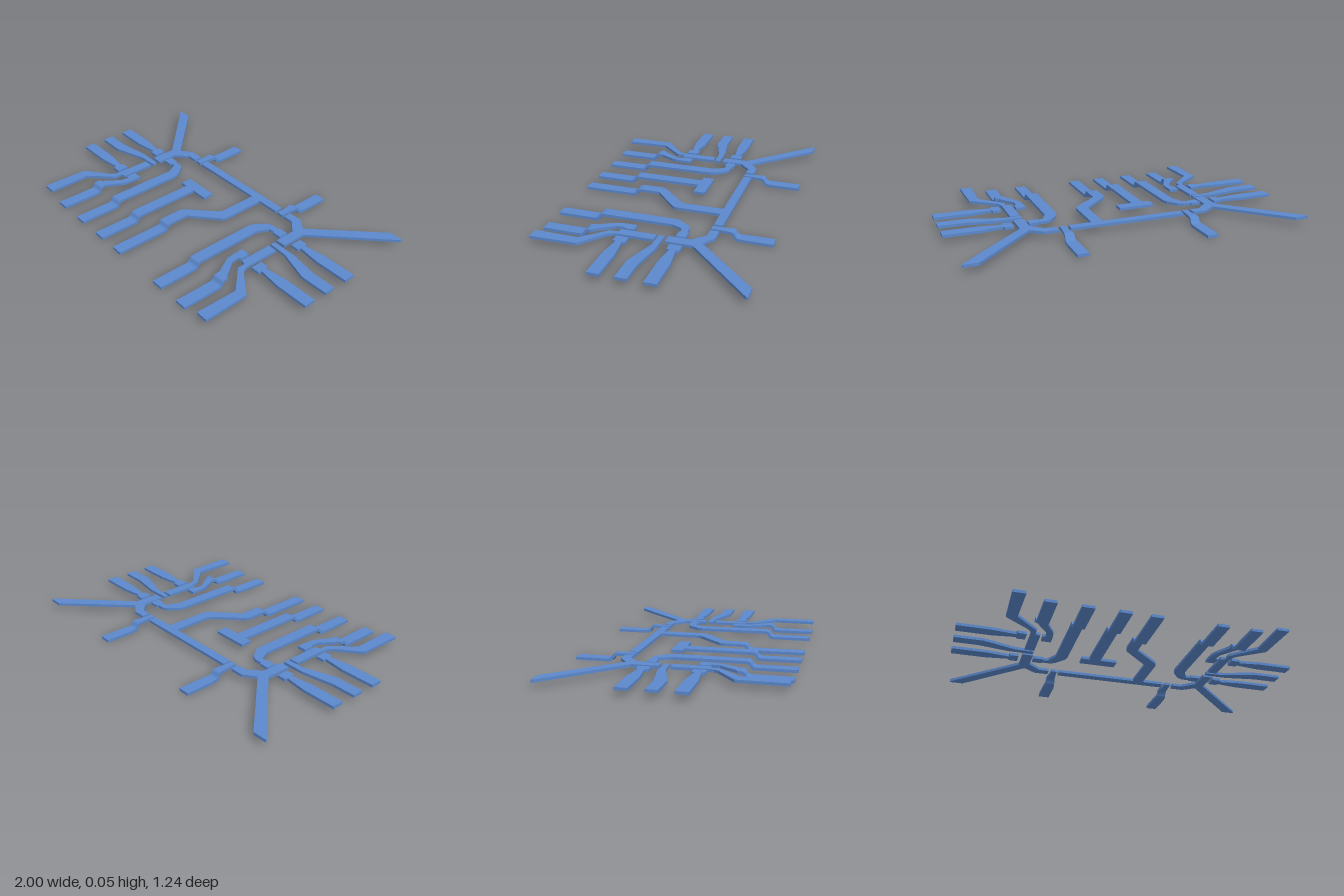
import * as THREE from 'three';
import { toCreasedNormals } from 'three/addons/utils/BufferGeometryUtils.js';

const T = 0.016; // sheet thickness
const U = 0.032; // underside of the raised level
const END = 0.62; // front and back ends of the leads

export function createModel() {
  const model = new THREE.Group();
  const metal = new THREE.MeshStandardMaterial({ color: 0x5b88cc });
  metal.name = 'blue metal';

  const add = (name, geometry) => {
    const mesh = new THREE.Mesh(geometry, metal);
    mesh.name = name;
    model.add(mesh);
  };

  // Flat plate at the raised level from an outline of [x, z] points
  const plate = (name, points, mirror = 1) => {
    const shape = new THREE.Shape(points.map(([x, z]) => new THREE.Vector2(x * mirror, -z)));
    const g = new THREE.ExtrudeGeometry(shape, { depth: T, bevelEnabled: false });
    g.rotateX(-Math.PI / 2);
    g.translate(0, U, 0);
    add(name, g);
  };

  // Lead end that steps down to the ground; side +1 is front, -1 is back
  const foot = (name, x, step, side = 1, width = () => 0.068) => {
    const s = new THREE.Shape();
    s.moveTo(step - 0.04, U + T);
    s.lineTo(step - 0.02, U + T);
    s.bezierCurveTo(step + 0.012, U + T, step - 0.005, T, step + 0.03, T);
    s.lineTo(step + 0.055, T);
    s.lineTo(END, T);
    s.lineTo(END, 0);
    s.lineTo(step + 0.055, 0);
    s.lineTo(step + 0.02, 0);
    s.bezierCurveTo(step - 0.012, 0, step + 0.005, U, step - 0.03, U);
    s.lineTo(step - 0.04, U);
    s.closePath();
    let g = new THREE.ExtrudeGeometry(s, { depth: 1, bevelEnabled: false, curveSegments: 8 });
    g.translate(0, 0, -0.5);
    g.rotateY(-side * Math.PI / 2);
    const p = g.attributes.position;
    for (let i = 0; i < p.count; i++) {
      p.setX(i, x + p.getX(i) * width(Math.abs(p.getZ(i))));
    }
    g = toCreasedNormals(g, 0.6);
    add(name, g);
  };

  for (const m of [-1, 1]) {
    const side = m > 0 ? 'left' : 'right';
    const both = (name, pts) => plate(side + name, pts, -m);

    // Corner support with diagonal arm
    both('CornerArm', [[-0.975, -0.62], [-0.895, -0.62], [-0.555, -0.275], [-0.485, -0.325],
      [-0.405, -0.325], [-0.405, -0.275], [-0.465, -0.275], [-0.535, -0.21], [-0.535, -0.085],
      [-0.595, -0.085], [-0.595, -0.235], [-0.975, -0.61]]);

    // Hooked front lead
    both('HookedLead', [[-0.525, -0.175], [-0.47, -0.175], [-0.465, -0.165], [-0.42, -0.165],
      [-0.39, -0.15], [-0.345, -0.09], [-0.336, -0.06], [-0.336, 0.33], [-0.404, 0.33],
      [-0.404, -0.06], [-0.435, -0.125], [-0.465, -0.13], [-0.47, -0.12], [-0.525, -0.12]]);
    foot(side + 'HookedLeadFoot', m * 0.37, 0.37);

    // Short front lead
    both('ShortLead', [[-0.525, 0.115], [-0.47, 0.115], [-0.47, 0.17], [-0.475, 0.22],
      [-0.485, 0.245], [-0.531, 0.33], [-0.599, 0.33], [-0.585, 0.325], [-0.515, 0.225],
      [-0.51, 0.18], [-0.525, 0.17]]);
    foot(side + 'ShortLeadFoot', m * 0.565, 0.37);

    // Outer front lead, level all the way
    both('OuterLead', [[-0.595, -0.02], [-0.54, -0.02], [-0.54, 0.18], [-0.57, 0.19],
      [-0.57, 0.235], [-0.695, 0.365], [-0.69, 0.615], [-0.76, 0.615], [-0.755, 0.345],
      [-0.615, 0.235], [-0.6, 0.21], [-0.595, 0.18]]);

    // Side leads with square pads
    for (const z of [-0.153, 0.143]) {
      both('SideLead', [[-1, z - 0.034], [-0.8, z - 0.034], [-0.67, z - 0.017], [-0.665, z - 0.034],
        [-0.615, z - 0.034], [-0.615, z + 0.036], [-0.665, z + 0.036], [-0.67, z + 0.017],
        [-0.8, z + 0.034], [-1, z + 0.034]]);
    }
    both('MiddleSideLead', [[-1, -0.035], [-0.86, -0.035], [-0.68, -0.065], [-0.54, -0.065],
      [-0.54, -0.035], [-0.65, -0.03], [-0.835, 0.03], [-1, 0.03]]);

    // Tapered back lead
    const taper = (d) => 0.035 + 0.03 * THREE.MathUtils.clamp((d - 0.32) / 0.14, 0, 1);
    const w = taper(0.365) / 2;
    both('BackLeadNeck', [[-0.37 - w, -0.365], [-0.37 + w, -0.365], [-0.3525, -0.32],
      [-0.3525, -0.275], [-0.3875, -0.275], [-0.3875, -0.32]]);
    foot(side + 'BackLeadFoot', m * 0.37, 0.405, -1, taper);
  }

  // Cross bar with its bent lead
  plate('crossBar', [[-0.34, -0.325], [0.335, -0.325], [0.335, -0.275], [0.2, -0.275],
    [0.2, -0.015], [0.19, 0.01], [0.034, 0.15], [0.034, 0.25], [-0.034, 0.25], [-0.034, 0.15],
    [-0.025, 0.125], [0.125, -0.02], [0.135, -0.045], [0.135, -0.275], [-0.34, -0.275]]);
  foot('crossBarFoot', 0, 0.29);

  // T-shaped lead
  plate('teeLead', [[-0.25, -0.11], [-0.038, -0.11], [-0.038, -0.043], [-0.138, -0.043],
    [-0.138, 0.33], [-0.206, 0.33], [-0.206, -0.043], [-0.25, -0.043]]);
  foot('teeLeadFoot', -0.172, 0.37);

  return model;
}
